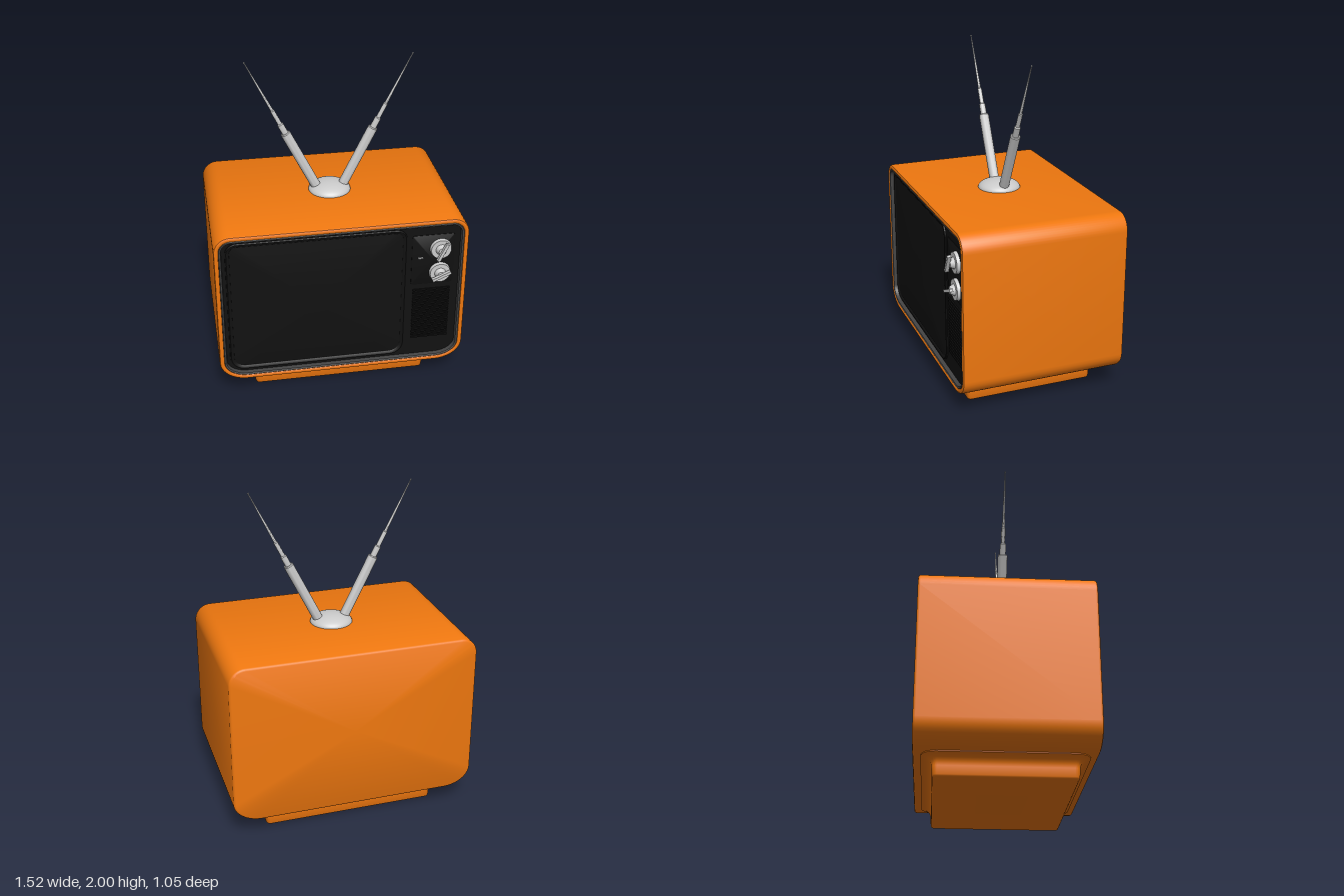
import * as THREE from 'three';
import { toCreasedNormals } from 'three/addons/utils/BufferGeometryUtils.js';

const paint = (color) => new THREE.MeshStandardMaterial({ color, side: THREE.DoubleSide });
const orange = paint(0xf0780f);
const black = paint(0x111111);
const darkTrim = paint(0x444444);
const grey = paint(0xcccccc);

function add(parent, name, geometry, material, x = 0, y = 0, z = 0) {
  const mesh = new THREE.Mesh(geometry, material);
  mesh.name = name;
  mesh.position.set(x, y, z);
  parent.add(mesh);
  return mesh;
}

// Rounded rectangle, counter-clockwise, with separate top and bottom corner radii
function outline({ x0, x1, y0, y1, top, bottom }, inset, scale) {
  const [tx, ty] = top, [bx, by] = bottom;
  const corners = [[x1, y1, tx, ty, 1, 1], [x0, y1, tx, ty, -1, 1], [x0, y0, bx, by, -1, -1], [x1, y0, bx, by, 1, -1]];
  const cx = (x0 + x1) / 2, cy = (y0 + y1) / 2, steps = 10, points = [];
  corners.forEach(([x, y, rx, ry, sx, sy], c) => {
    rx = Math.max(rx - inset, 0.004);
    ry = Math.max(ry - inset, 0.004);
    for (let i = 0; i <= steps; i++) {
      const a = (c + i / steps) * Math.PI / 2;
      const px = x - sx * (inset + rx) + rx * Math.cos(a);
      const py = y - sy * (inset + ry) + ry * Math.sin(a);
      points.push([cx + (px - cx) * scale, cy + (py - cy) * scale]);
    }
  });
  return points;
}

// Skin through copies of an outline; each section is [z, inset, scale]
function loft(rect, sections, capStart = true, capEnd = true) {
  const positions = [], index = [];
  let n = 0;
  for (const [z, inset, scale = 1] of sections) {
    const ring = outline(rect, inset, scale);
    n = ring.length;
    ring.forEach(([x, y]) => positions.push(x, y, z));
  }
  for (let s = 0; s < sections.length - 1; s++) {
    for (let i = 0; i < n; i++) {
      const j = (i + 1) % n, a = s * n, b = a + n;
      index.push(a + i, a + j, b + j, a + i, b + j, b + i);
    }
  }
  const cap = (s, flip) => {
    const centre = positions.length / 3;
    positions.push((rect.x0 + rect.x1) / 2, (rect.y0 + rect.y1) / 2, sections[s][0]);
    for (let i = 0; i < n; i++) {
      const a = s * n + i, b = s * n + (i + 1) % n;
      index.push(centre, flip ? b : a, flip ? a : b);
    }
  };
  if (capStart) cap(0, true);
  if (capEnd) cap(sections.length - 1, false);
  const geometry = new THREE.BufferGeometry();
  geometry.setAttribute('position', new THREE.Float32BufferAttribute(positions, 3));
  geometry.setIndex(index);
  return toCreasedNormals(geometry, 0.7);
}

// Dial with a grip bar turned by the given angle
function makeKnob(name, y, angle) {
  const knob = new THREE.Group();
  knob.name = name;
  knob.position.set(0.595, y, 0);
  const disc = new THREE.CylinderGeometry(0.062, 0.067, 0.025, 40).rotateX(Math.PI / 2);
  add(knob, 'knobDisc', disc, grey, 0, 0, 0.4725);
  const hub = new THREE.CylinderGeometry(0.022, 0.036, 0.028, 28).rotateX(Math.PI / 2);
  add(knob, 'knobHub', hub, grey, 0, 0, 0.497);
  const grip = add(knob, 'knobGrip', new THREE.BoxGeometry(0.122, 0.018, 0.022), grey, 0, 0, 0.519);
  grip.rotation.z = angle;
  return knob;
}

// Telescopic rod leaning outwards; side is +1 or -1
function makeAntenna(side) {
  const profile = [[0, 0], [0.03, 0], [0.03, 0.405], [0.026, 0.41], [0.019, 0.41], [0.019, 0.475],
    [0.013, 0.48], [0.013, 0.575], [0.009, 0.58], [0.003, 0.917], [0.005, 0.919], [0.005, 0.925], [0, 0.928]];
  const points = profile.map(([r, y]) => new THREE.Vector2(r, y));
  const geometry = toCreasedNormals(new THREE.LatheGeometry(points, 24), 0.6);
  const rod = new THREE.Mesh(geometry, grey);
  rod.name = side > 0 ? 'leftAntenna' : 'rightAntenna';
  rod.position.set(side * 0.085, 1.17, -0.018);
  rod.rotation.z = -side * Math.atan2(0.415, 0.83);
  return rod;
}

export function createModel() {
  const model = new THREE.Group();
  model.name = 'television';

  // Cabinet with softened edges and a shallow front recess
  const body = { x0: -0.76, x1: 0.76, y0: 0.125, y1: 1.14, top: [0.1, 0.1], bottom: [0.17, 0.13] };
  add(model, 'cabinet', loft(body, [
    [-0.525, 0.014], [-0.521, 0.005], [-0.511, 0], [0.476, 0], [0.486, 0.004], [0.49, 0.012],
    [0.49, 0.022], [0.486, 0.028], [0.45, 0.03]
  ]), orange);
  add(model, 'frontTrim', loft(body, [
    [0.45, 0.029], [0.485, 0.029], [0.488, 0.032], [0.488, 0.038], [0.485, 0.042], [0.455, 0.046]
  ], false, false), darkTrim);
  add(model, 'frontPanel', loft(body, [[0.45, 0.04], [0.46, 0.04]]), black);

  // Foot with a cove flaring up into the cabinet
  const foot = { x0: -0.6, x1: 0.6, y0: -0.45, y1: 0.48, top: [0.09, 0.09], bottom: [0.09, 0.09] };
  const cove = [[0, 0.073], [0.004, 0.067], [0.012, 0.063], [0.06, 0.06]];
  for (let i = 1; i <= 8; i++) {
    const a = i / 8 * Math.PI / 2;
    cove.push([0.06 + 0.06 * Math.sin(a), 0.06 * Math.cos(a)]);
  }
  cove.push([0.14, 0]);
  add(model, 'foot', loft(foot, cove).rotateX(-Math.PI / 2), orange);

  // Picture tube: raised surround and bulging glass
  const screen = { x0: -0.695, x1: 0.39, y0: 0.185, y1: 1.085, top: [0.07, 0.07], bottom: [0.09, 0.09] };
  add(model, 'screenSurround', loft(screen, [
    [0.455, 0], [0.467, 0.002], [0.47, 0.008], [0.468, 0.016], [0.462, 0.026]
  ], false, false), black);
  const bulge = [[0.458, 0.024]];
  for (let i = 0; i <= 8; i++) {
    const s = 1 - i / 9;
    bulge.push([0.463 + 0.023 * (1 - s * s), 0.026, s]);
  }
  add(model, 'screenGlass', loft(screen, bulge, false), black);

  // Control plate, speaker slats and indicator
  const plate = { x0: 0.42, x1: 0.68, y0: 0.69, y1: 1.03, top: [0.015, 0.015], bottom: [0.015, 0.015] };
  add(model, 'controlPlate', loft(plate, [[0.455, 0], [0.463, 0], [0.465, 0.004]], false), black);
  const slats = new THREE.Group();
  slats.name = 'speakerGrille';
  model.add(slats);
  for (let i = 0; i < 18; i++) {
    add(slats, 'speakerSlat', new THREE.BoxGeometry(0.23, 0.01, 0.014), black, 0.55, 0.3 + i * 0.0205, 0.461);
  }
  add(model, 'indicator', new THREE.BoxGeometry(0.03, 0.008, 0.012), grey, 0.473, 0.878, 0.468);
  model.add(makeKnob('upperKnob', 0.935, 1.12));
  model.add(makeKnob('lowerKnob', 0.77, 0.42));

  // Aerial dome and rods
  const dome = new THREE.SphereGeometry(0.13, 40, 14, 0, Math.PI * 2, 0, Math.PI / 2);
  add(model, 'antennaBase', dome.scale(1, 0.4, 1), grey, 0, 1.14, -0.018);
  model.add(makeAntenna(1), makeAntenna(-1));
  return model;
}
